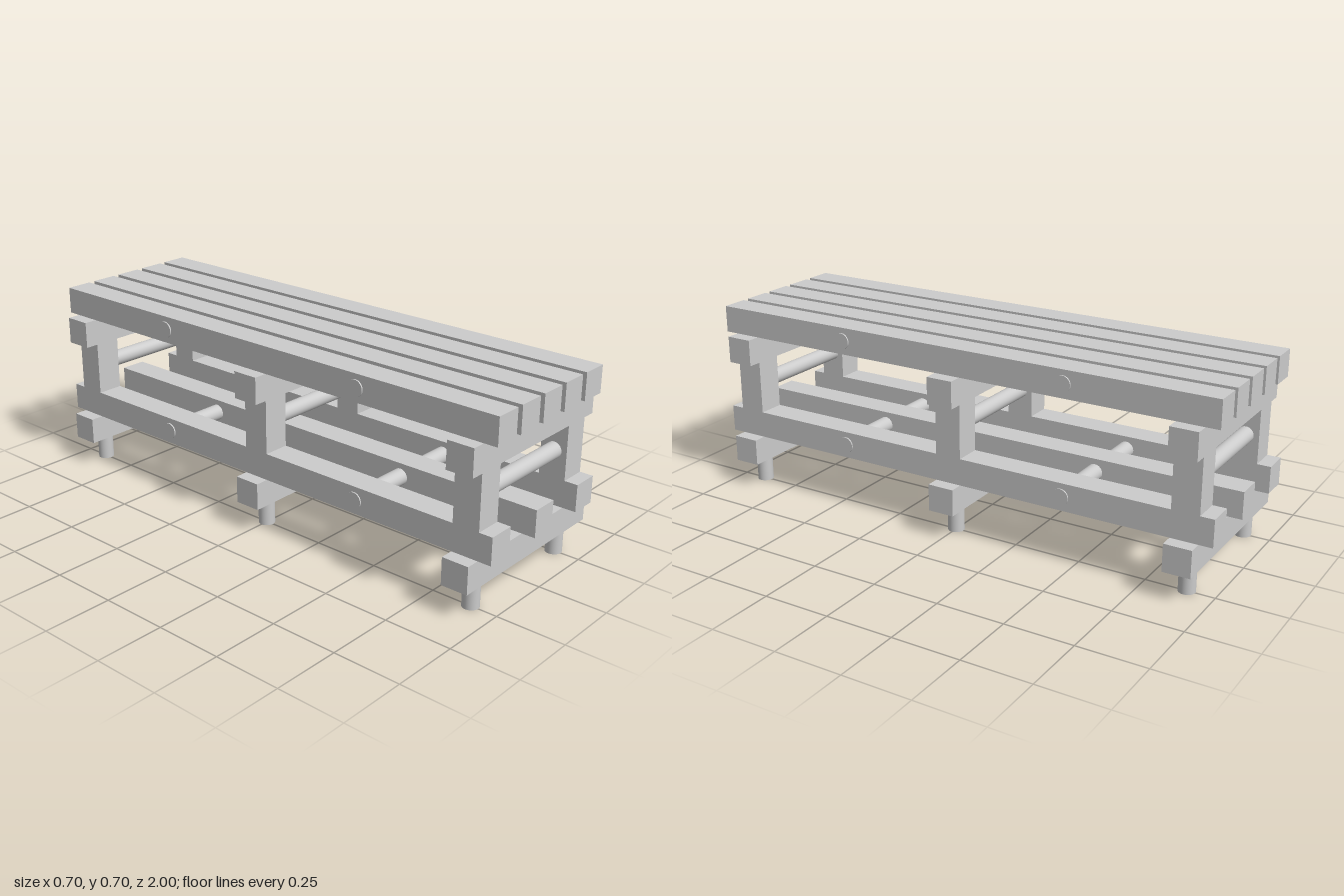
import * as THREE from 'three';

export function createModel() {
  const model = new THREE.Group();
  model.name = 'slattedBench';
  const material = new THREE.MeshStandardMaterial({ color: 0xcccccc });

  function add(name, geometry, x, y, z) {
    const mesh = new THREE.Mesh(geometry, material);
    mesh.name = name;
    mesh.position.set(x, y, z);
    model.add(mesh);
  }
  const beam = (w, h, d) => new THREE.BoxGeometry(w, h, d);
  const dowel = (length) => new THREE.CylinderGeometry(0.03, 0.03, length, 32);
  const crossDowel = (length) => dowel(length).rotateZ(Math.PI / 2);

  // Long seat slats and lower rails
  for (const x of [-0.25, -0.125, 0, 0.125, 0.25]) add('seatSlat', beam(0.1, 0.1, 2), x, 0.65, 0);
  for (const x of [-0.25, 0, 0.25]) add('lowerRail', beam(0.1, 0.1, 2), x, 0.25, 0);

  // Three support frames: crossbars, posts, stretcher and feet
  for (const z of [-0.9, 0, 0.9]) {
    add('upperCrossbar', beam(0.7, 0.1, 0.1), 0, 0.55, z);
    add('lowerCrossbar', beam(0.7, 0.1, 0.1), 0, 0.15, z);
    add('stretcher', crossDowel(0.42), 0, 0.4, z);
    for (const x of [-0.25, 0.25]) {
      add('post', beam(0.1, 0.2, 0.1), x, 0.4, z);
      add('foot', dowel(0.1), x, 0.05, z);
    }
  }

  // Dowels threaded through the slats and the rails
  for (const z of [-0.45, 0.45]) {
    add('seatDowel', crossDowel(0.61), 0, 0.65, z);
    add('railDowel', crossDowel(0.61), 0, 0.25, z);
  }
  return model;
}
